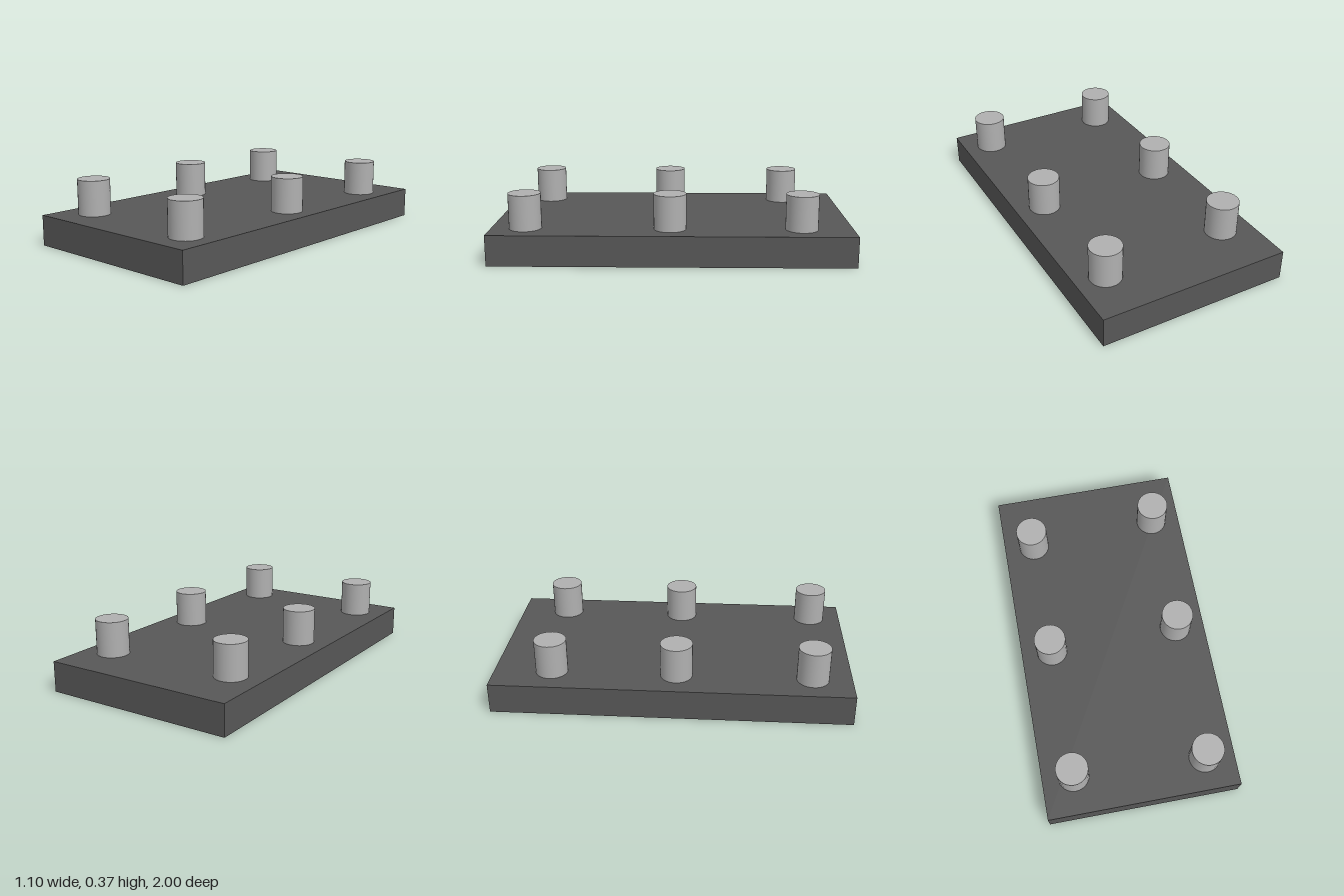
import * as THREE from 'three';

export function createModel() {
  const model = new THREE.Group();
  model.name = 'peggedPlate';

  const darkGrey = new THREE.MeshStandardMaterial({ color: 0x575757 });
  darkGrey.name = 'dark grey';
  const lightGrey = new THREE.MeshStandardMaterial({ color: 0xb0b0b0 });
  lightGrey.name = 'light grey';

  // Flat base slab
  const plateHeight = 0.172;
  const plate = new THREE.Mesh(new THREE.BoxGeometry(1.1, plateHeight, 2), darkGrey);
  plate.name = 'basePlate';
  plate.position.y = plateHeight / 2;
  model.add(plate);

  // Round pegs, sunk into the slab, in two slightly uneven rows
  const pegTop = 0.37, pegBottom = 0.02;
  const pegGeometry = new THREE.CylinderGeometry(0.09, 0.09, pegTop - pegBottom, 32);
  const rows = [
    { side: 'right', x: -0.37, zs: [0.78, 0.025, -0.675] },
    { side: 'left', x: 0.38, zs: [0.81, 0.01, -0.715] },
  ];
  const places = ['Front', 'Middle', 'Back'];
  for (const { side, x, zs } of rows) {
    zs.forEach((z, i) => {
      const peg = new THREE.Mesh(pegGeometry, lightGrey);
      peg.name = `${side}${places[i]}Peg`;
      peg.position.set(x, (pegTop + pegBottom) / 2, z);
      model.add(peg);
    });
  }

  return model;
}
